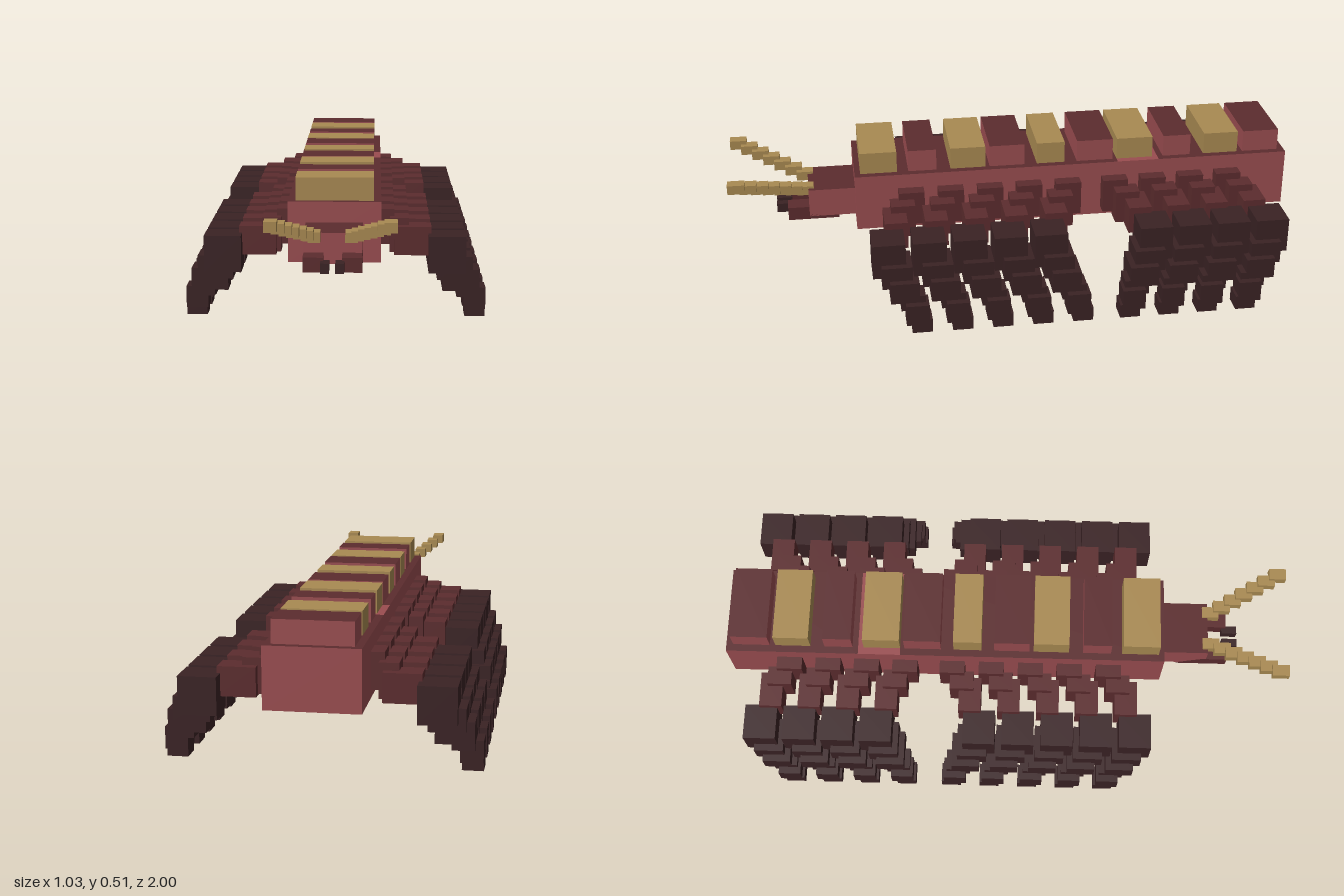
import * as THREE from 'three';

const mat = (name, color) => {
  const m = new THREE.MeshStandardMaterial({ color });
  m.name = name;
  return m;
};

export function createModel() {
  const model = new THREE.Group();
  model.name = 'crawler';
  const red = mat('shell red', 0x9a4d50);
  const maroon = mat('maroon', 0x5c2c2e);
  const dark = mat('dark brown', 0x3a2224);
  const gold = mat('gold', 0xa98a52);
  // red sides with maroon top and underside
  const shell = [red, red, maroon, maroon, red, red];

  // box from its min/max extents on each axis
  function box(parent, name, material, [x0, x1], [y0, y1], [z0, z1]) {
    const mesh = new THREE.Mesh(new THREE.BoxGeometry(x1 - x0, y1 - y0, z1 - z0), material);
    mesh.position.set((x0 + x1) / 2, (y0 + y1) / 2, (z0 + z1) / 2);
    mesh.name = name;
    parent.add(mesh);
  }
  const span = (c, w) => [c - w / 2, c + w / 2];
  const mirror = (s, [a, b]) => (s > 0 ? [a, b] : [-b, -a]);

  // body, with a bare red band behind the middle
  box(model, 'rearBody', shell, [-0.155, 0.155], [0.225, 0.43], [-1, -0.53]);
  box(model, 'bareBand', [red, red, red, maroon, red, red], [-0.155, 0.155], [0.225, 0.43], [-0.53, -0.38]);
  box(model, 'frontBody', shell, [-0.155, 0.155], [0.225, 0.43], [-0.38, 0.56]);

  // back plates, alternating gold and red
  const plates = [
    [0.41, 0.54], [0.27, 0.37], [0.095, 0.22], [-0.045, 0.08], [-0.19, -0.09],
    [-0.365, -0.235], [-0.51, -0.38], [-0.65, -0.55], [-0.825, -0.7], [-0.975, -0.845],
  ];
  plates.forEach((z, i) =>
    box(model, 'backPlate', i % 2 ? shell : gold, [-0.13, 0.13], [0.42, 0.508], z));

  // head
  box(model, 'head', shell, [-0.095, 0.095], [0.257, 0.36], [0.55, 0.725]);

  // leg blocks from hip to foot: x range, y range, z offset toward the far end, z width
  const legBlocks = [
    ['hip', maroon, [0.14, 0.2], [0.255, 0.378], 0, 0.09],
    ['thigh', maroon, [0.185, 0.25], [0.235, 0.353], 0.035, 0.085],
    ['thigh', maroon, [0.2, 0.325], [0.23, 0.328], 0.065, 0.08],
    ['knee', dark, [0.315, 0.44], [0.18, 0.305], 0.1, 0.115],
    ['shin', dark, [0.345, 0.465], [0.15, 0.23], 0.075, 0.105],
    ['shin', dark, [0.365, 0.49], [0.105, 0.18], 0.052, 0.1],
    ['ankle', dark, [0.415, 0.49], [0.075, 0.13], 0.025, 0.085],
    ['ankle', dark, [0.44, 0.515], [0.03, 0.105], 0.012, 0.08],
    ['foot', dark, [0.445, 0.515], [0, 0.05], -0.002, 0.07],
  ];
  function leg(side, z, dir) {
    const g = new THREE.Group();
    g.name = side > 0 ? 'leftLeg' : 'rightLeg';
    for (const [name, m, x, y, dz, w] of legBlocks)
      box(g, name, m, mirror(side, x), y, span(z + dir * dz, w));
    model.add(g);
  }

  for (const side of [1, -1]) {
    // five front legs splay forward, four rear legs splay back
    for (let i = 0; i < 5; i++) leg(side, 0.365 - i * 0.14, 1);
    for (let i = 0; i < 4; i++) leg(side, -0.365 - i * 0.138, -1);

    // jaws
    box(model, 'jaw', maroon, mirror(side, [0.03, 0.095]), [0.247, 0.295], [0.62, 0.8]);
    box(model, 'jawTip', dark, mirror(side, [0.01, 0.038]), [0.252, 0.285], [0.785, 0.84]);

    // stepped antenna
    for (let i = 0; i < 7; i++) {
      const t = i / 6;
      box(model, 'antenna', gold, span(side * (0.06 + 0.123 * t), 0.04),
        span(0.352 + 0.081 * t, 0.033), span(0.735 + 0.235 * t, 0.06));
    }
  }
  return model;
}
